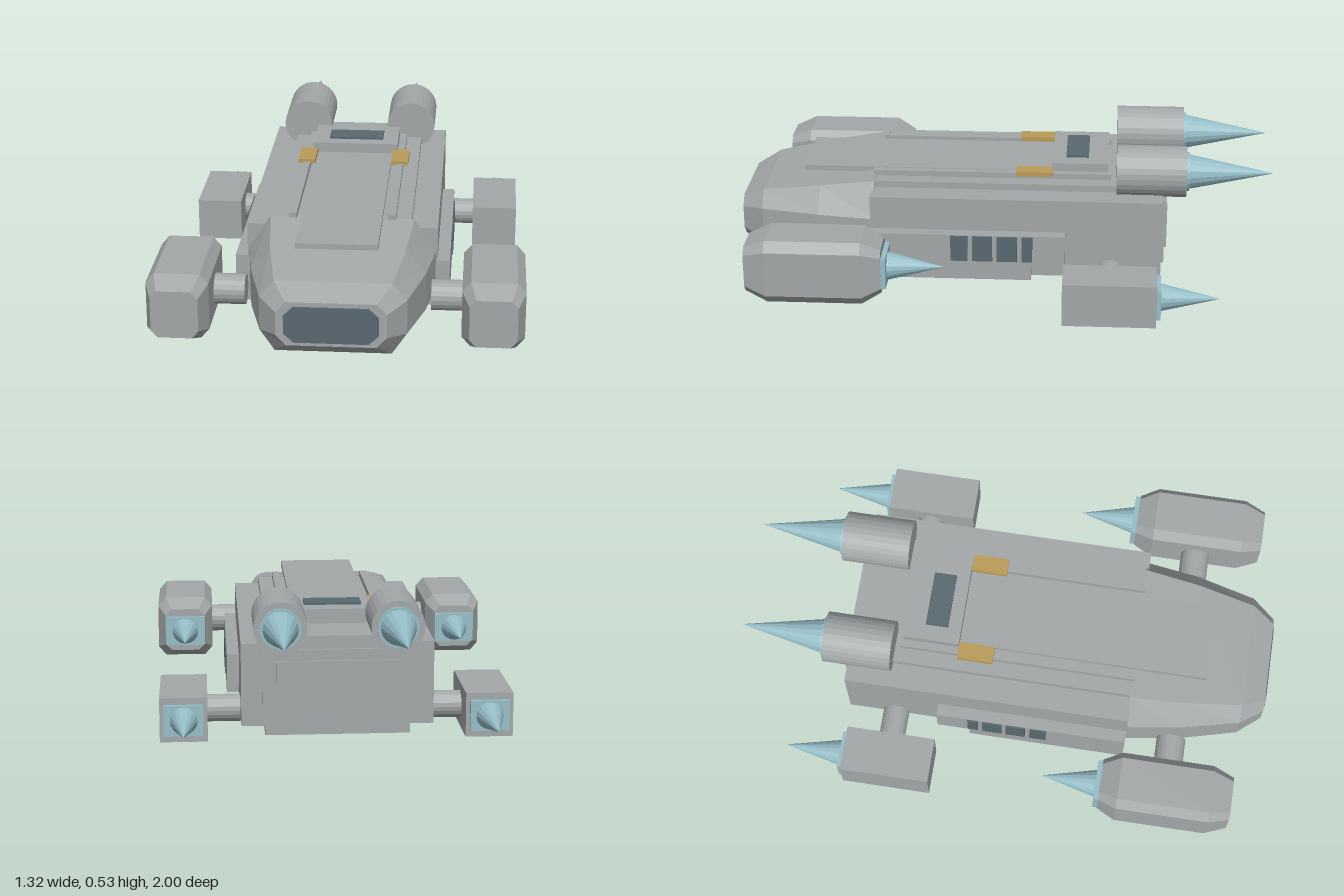
import * as THREE from 'three';

const flat = (name, color) => {
  const m = new THREE.MeshStandardMaterial({ color, flatShading: true });
  m.name = name;
  return m;
};

export function createModel() {
  const root = new THREE.Group();
  root.name = 'spacecraft';
  const hull = flat('hull grey', 0xa3a7a8);
  const glass = flat('dark glass', 0x596870);
  const flame = flat('exhaust blue', 0x95bdc7);
  const brass = flat('brass', 0xb99b58);

  const add = (name, geo, mat) => {
    const m = new THREE.Mesh(geo, mat);
    m.name = name;
    root.add(m);
    return m;
  };
  // Box given by its extents
  const box = (name, mat, x0, x1, y0, y1, z0, z1) =>
    add(name, new THREE.BoxGeometry(x1 - x0, y1 - y0, z1 - z0), mat)
      .position.set((x0 + x1) / 2, (y0 + y1) / 2, (z0 + z1) / 2);
  // Cylinder along z, from z0 back to z1; r1 is the rear radius
  const rod = (name, mat, x, y, z0, z1, r0, r1, sides) =>
    add(name, new THREE.CylinderGeometry(r0, r1, z0 - z1, sides).rotateX(Math.PI / 2), mat)
      .position.set(x, y, (z0 + z1) / 2);
  // Cylinder along x
  const strut = (name, x0, x1, y, z, r) =>
    add(name, new THREE.CylinderGeometry(r, r, Math.abs(x1 - x0), 20).rotateZ(Math.PI / 2), hull)
      .position.set((x0 + x1) / 2, y, z);

  // Octagon, counter-clockwise seen from +z
  const octagon = (z, w, flatW, yb, yt, sideLow, sideHigh) => [
    [flatW, yb, z], [w, sideLow, z], [w, sideHigh, z], [flatW, yt, z],
    [-flatW, yt, z], [-w, sideHigh, z], [-w, sideLow, z], [-flatW, yb, z],
  ];
  // Faceted skin over cross-sections in order of rising z, capped at both ends
  const loft = (sections) => {
    const p = [];
    const n = sections[0].length;
    for (let s = 0; s + 1 < sections.length; s++) {
      const a = sections[s], b = sections[s + 1];
      for (let i = 0; i < n; i++) {
        const j = (i + 1) % n;
        p.push(...a[i], ...a[j], ...b[j], ...a[i], ...b[j], ...b[i]);
      }
    }
    const first = sections[0], last = sections[sections.length - 1];
    for (let i = 1; i + 1 < n; i++) {
      p.push(...last[0], ...last[i], ...last[i + 1]);
      p.push(...first[0], ...first[i + 1], ...first[i]);
    }
    const g = new THREE.BufferGeometry();
    g.setAttribute('position', new THREE.Float32BufferAttribute(p, 3));
    g.computeVertexNormals();
    return g;
  };

  // Main hull with raised roof and keel slabs
  box('mainHull', hull, -0.345, 0.345, 0.06, 0.362, -0.59, 0.49);
  box('roofSlab', hull, -0.25, 0.25, 0.36, 0.387, -0.59, 0.49);
  box('keelSlab', hull, -0.26, 0.26, 0.025, 0.06, -0.59, 0.49);

  // Tapered nose and its windscreen
  add('nose', loft([
    octagon(0.48, 0.34, 0.26, 0.025, 0.39, 0.125, 0.27),
    octagon(0.69, 0.31, 0.24, 0.043, 0.36, 0.13, 0.27),
    octagon(0.91, 0.255, 0.203, 0.062, 0.323, 0.14, 0.265),
    octagon(0.995, 0.19, 0.155, 0.122, 0.283, 0.16, 0.245),
  ]), hull);
  add('windscreen', loft([
    octagon(0.993, 0.163, 0.128, 0.135, 0.267, 0.168, 0.234),
    octagon(1.0, 0.163, 0.128, 0.135, 0.267, 0.168, 0.234),
  ]), glass);

  // Roof details
  box('roofPlate', hull, -0.145, 0.145, 0.382, 0.402, -0.36, 0.76);
  box('sensorDeck', hull, -0.165, 0.165, 0.385, 0.44, -0.39, -0.18);
  box('deckWindow', glass, -0.105, 0.105, 0.44, 0.449, -0.315, -0.23);

  // Rear hatch in two steps
  box('hatchFrame', hull, -0.27, 0.27, 0.09, 0.34, -0.602, -0.59);
  box('hatchPanel', hull, -0.22, 0.22, 0.13, 0.30, -0.612, -0.60);

  // Side panel outline in (z, y), notched at its lower rear corner
  const panelShape = new THREE.Shape([
    [0.49, 0.06], [0.49, 0.237], [-0.235, 0.237], [-0.235, 0.115], [-0.11, 0.115], [-0.11, 0.06],
  ].map(([z, y]) => new THREE.Vector2(-z, y)));

  for (const s of [1, -1]) {
    const span = (a, b) => (s > 0 ? [a, b] : [-b, -a]);

    box('roofRail', hull, ...span(0.165, 0.193), 0.385, 0.408, -0.40, 0.49);
    box('roofClamp', brass, ...span(0.147, 0.212), 0.402, 0.419, -0.18, -0.045);

    const panel = add('sidePanel', new THREE.ExtrudeGeometry(panelShape,
      { depth: 0.05, bevelEnabled: false }).rotateY(Math.PI / 2), hull);
    panel.position.x = s > 0 ? 0.34 : -0.39;
    for (const [z0, z1] of [[0.125, 0.188], [0.033, 0.107], [-0.058, 0.016], [-0.115, -0.075]]) {
      box('sideWindow', glass, ...span(0.388, 0.396), 0.135, 0.234, z0, z1);
    }

    // Upper engine
    rod('upperEngine', hull, s * 0.207, 0.435, -0.42, -0.678, 0.095, 0.095, 28);
    rod('upperNozzle', flame, s * 0.207, 0.435, -0.675, -0.688, 0.073, 0.073, 20);
    rod('upperExhaust', flame, s * 0.207, 0.435, -0.688, -1.0, 0, 0, 16);
    root.children[root.children.length - 1].geometry =
      new THREE.ConeGeometry(0.064, 0.312, 16).rotateX(-Math.PI / 2);

    // Forward nacelle
    const nacelle = add('frontNacelle', loft([
      octagon(0.42, 0.08, 0.055, -0.085, 0.085, -0.06, 0.06),
      octagon(0.49, 0.11, 0.08, -0.12, 0.12, -0.085, 0.085),
      octagon(0.835, 0.11, 0.08, -0.12, 0.12, -0.085, 0.085),
      octagon(0.915, 0.083, 0.06, -0.087, 0.087, -0.06, 0.06),
    ]), hull);
    nacelle.position.set(s * 0.55, 0.185, 0);
    strut('frontStrut', s * 0.33, s * 0.46, 0.18, 0.665, 0.055);
    box('frontNozzle', flame, ...span(0.472, 0.628), 0.125, 0.24, 0.402, 0.42);
    add('frontExhaust', new THREE.ConeGeometry(0.052, 0.207, 16).rotateX(-Math.PI / 2), flame)
      .position.set(s * 0.55, 0.182, 0.3);

    // Rear pod
    box('rearPod', hull, ...span(0.465, 0.637), 0, 0.163, -0.572, -0.232);
    strut('rearStrut', s * 0.33, s * 0.48, 0.08, -0.405, 0.05);
    box('rearNozzle', flame, ...span(0.48, 0.622), 0.025, 0.138, -0.588, -0.572);
    add('rearExhaust', new THREE.ConeGeometry(0.05, 0.217, 16).rotateX(-Math.PI / 2), flame)
      .position.set(s * 0.55, 0.082, -0.696);
  }
  return root;
}
